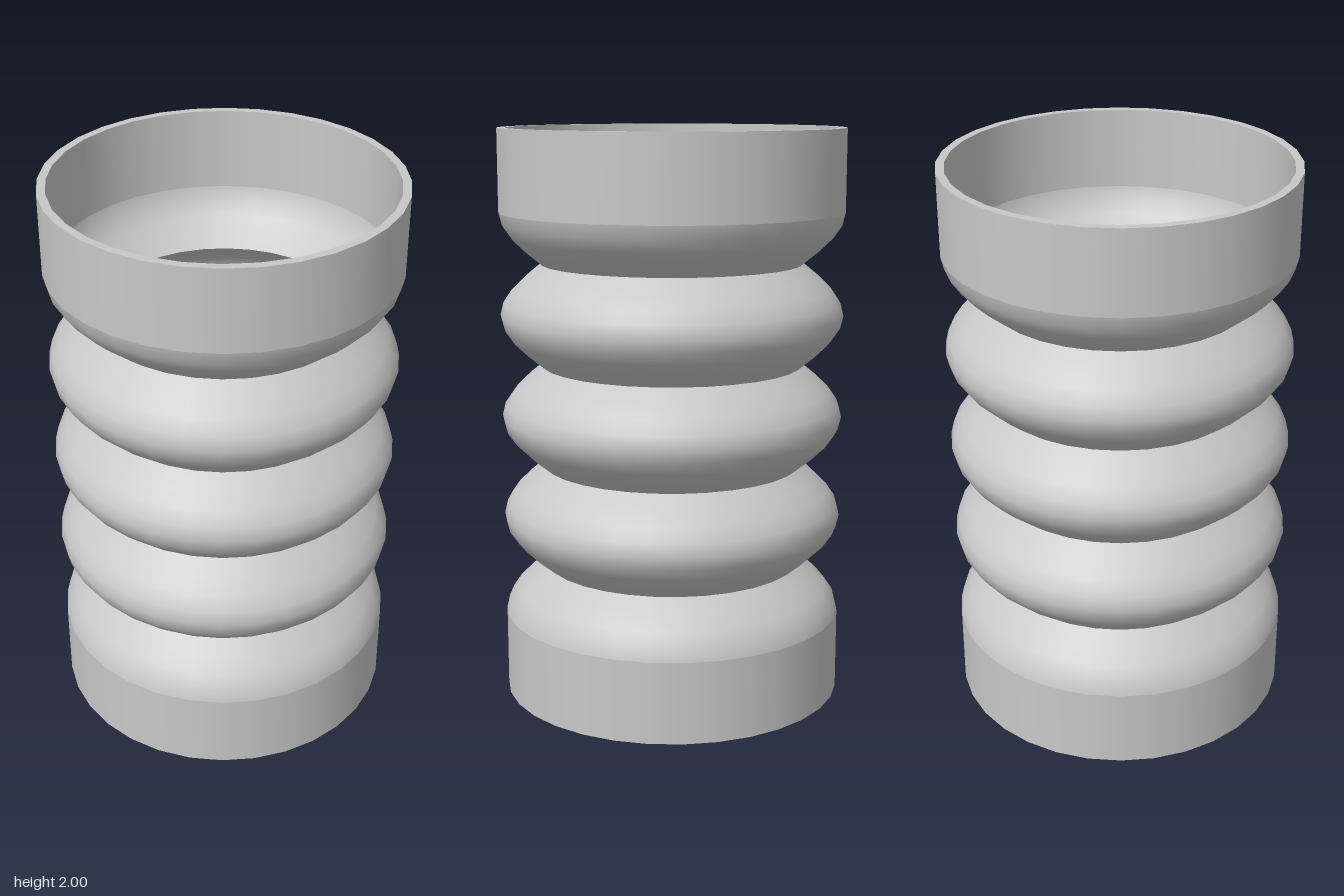
import * as THREE from 'three';

const SEGMENTS = 32;      // sides around the tube
const STEPS = 8;          // profile steps per full bulge
const CUFF = 2 / 7;       // height of each straight end
const PITCH = 2.5 / 7;    // height of one bulge
const DEPTH = 1 / 7;      // depth of the grooves
const OUTER = 0.6;
const INNER = 4 / 7;

export function createModel() {
  const model = new THREE.Group();
  model.name = 'bellowsTube';
  const grey = new THREE.MeshStandardMaterial({ color: 0xc8c8c8 });
  grey.name = 'light grey';

  // Revolve a profile; rising points face outward, falling points face inward
  const revolve = (name, points, parent) => {
    const mesh = new THREE.Mesh(new THREE.LatheGeometry(points, SEGMENTS), grey);
    mesh.name = name;
    parent.add(mesh);
  };

  // Rounded profile from one fraction of a bulge to another (0.5 is the crest)
  const bulge = (radius, y0, from, to) => {
    const n = Math.round((to - from) * STEPS);
    return Array.from({ length: n + 1 }, (_, i) => {
      const t = from + ((to - from) * i) / n;
      return new THREE.Vector2(radius - DEPTH * (1 - Math.sin(Math.PI * t)), y0 + PITCH * t);
    });
  };

  const straight = (radius, y0, y1) => [new THREE.Vector2(radius, y0), new THREE.Vector2(radius, y1)];

  // Outer and inner skins, each with two cuffs, two shoulders and three bulges
  for (const [name, radius, inward] of [['outerWall', OUTER, false], ['innerWall', INNER, true]]) {
    const wall = new THREE.Group();
    wall.name = name;
    model.add(wall);
    const add = (part, points) => revolve(part, inward ? points.reverse() : points, wall);
    const start = CUFF - PITCH / 2;

    add('bottomCuff', straight(radius, 0, CUFF));
    add('bottomShoulder', bulge(radius, start, 0.5, 1));
    for (let i = 1; i <= 3; i++) add('bulge' + i, bulge(radius, start + i * PITCH, 0, 1));
    add('topShoulder', bulge(radius, start + 4 * PITCH, 0, 0.5));
    add('topCuff', straight(radius, 2 - CUFF, 2));
  }

  // Flat rims closing the wall thickness
  revolve('topRim', [new THREE.Vector2(OUTER, 2), new THREE.Vector2(INNER, 2)], model);
  revolve('bottomRim', [new THREE.Vector2(INNER, 0), new THREE.Vector2(OUTER, 0)], model);

  return model;
}
